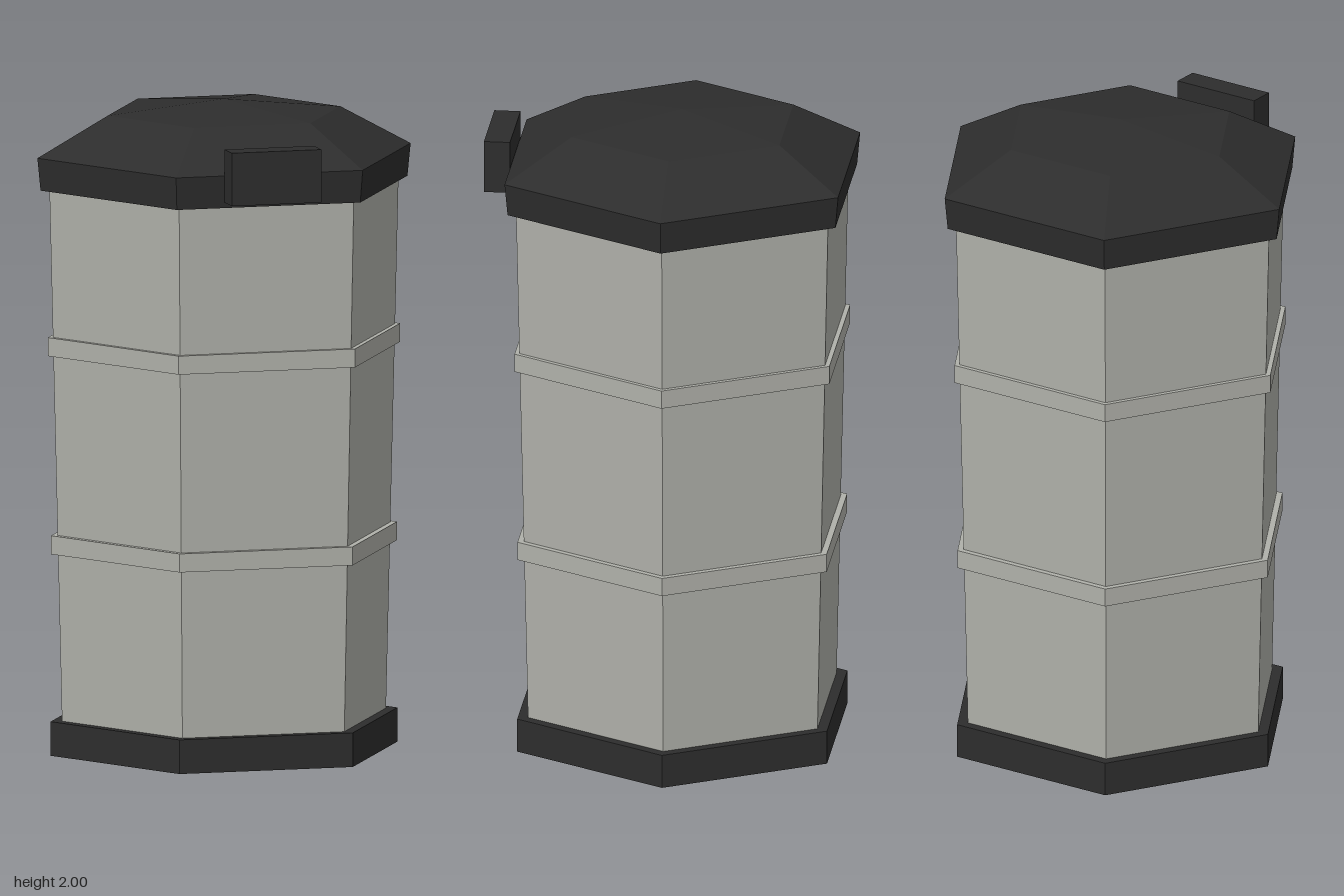
import * as THREE from 'three';

const SIDES = 6;
const TURN = Math.PI / 6; // corners on the x axis, flats facing front and back

export function createModel() {
  const model = new THREE.Group();
  model.name = 'litterBin';

  const grey = new THREE.MeshStandardMaterial({ color: 0xb0b1aa, flatShading: true });
  grey.name = 'light grey';
  const dark = new THREE.MeshStandardMaterial({ color: 0x2d2d2d, flatShading: true });
  dark.name = 'charcoal';

  // Hexagonal parts share an axis set slightly back from the origin
  const hull = new THREE.Group();
  hull.name = 'hexagonalBin';
  hull.position.z = -0.04;
  model.add(hull);

  const add = (parent, name, geometry, material, x = 0, y = 0, z = 0) => {
    const mesh = new THREE.Mesh(geometry, material);
    mesh.name = name;
    mesh.position.set(x, y, z);
    parent.add(mesh);
  };
  const prism = (name, material, bottomRadius, topRadius, y0, y1) =>
    add(hull, name,
      new THREE.CylinderGeometry(topRadius, bottomRadius, y1 - y0, SIDES, 1, false, TURN),
      material, 0, (y0 + y1) / 2);

  // Base, tapered body and two raised bands
  prism('base', dark, 0.548, 0.548, 0, 0.105);
  prism('body', grey, 0.512, 0.552, 0.1, 1.75);
  prism('lowerBand', grey, 0.547, 0.547, 0.62, 0.677);
  prism('upperBand', grey, 0.557, 0.557, 1.23, 1.287);

  // Lid: flat underside, flared rim, steep skirt and shallow peak
  const lidProfile = [[0, 1.74], [0.58, 1.74], [0.59, 1.84], [0.368, 1.962], [0, 2]]
    .map(([r, y]) => new THREE.Vector2(r, y));
  add(hull, 'lid', new THREE.LatheGeometry(lidProfile, SIDES, TURN), dark);

  // Handle block on the front of the lid
  add(model, 'lidHandle', new THREE.BoxGeometry(0.283, 0.163, 0.08), dark, 0, 1.84, 0.512);

  return model;
}
